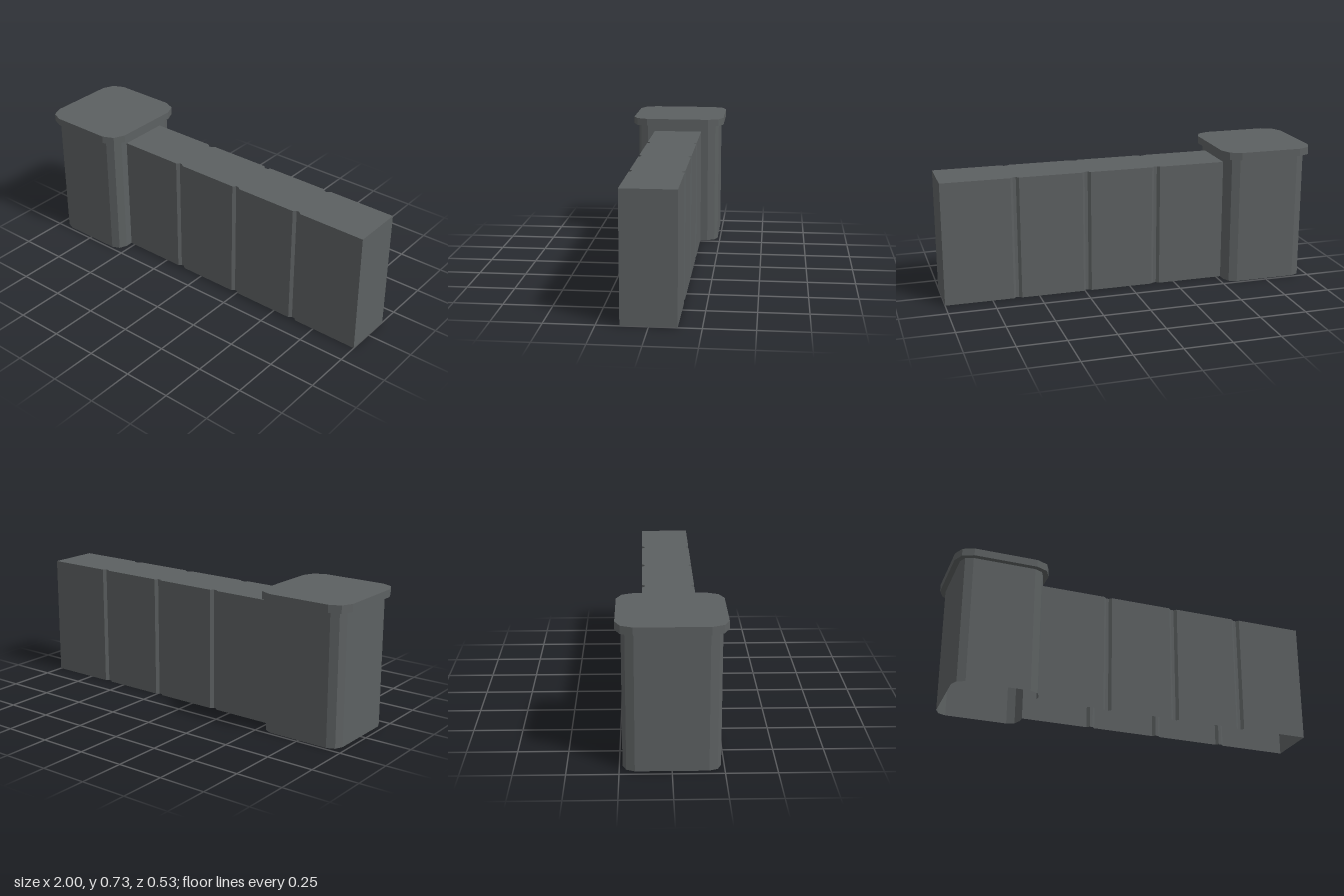
import * as THREE from 'three';

const stone = new THREE.MeshStandardMaterial({ color: 0x5c6061, side: THREE.DoubleSide });
stone.name = 'dark grey stone';

// Flat-faced skin between successive [outline, height] rings; outlines hold [x, z] points.
function skin(rings, closed) {
  const pos = [];
  for (let r = 0; r < rings.length - 1; r++) {
    const [lo, y0] = rings[r], [hi, y1] = rings[r + 1];
    const n = lo.length;
    for (let i = 0; i < (closed ? n : n - 1); i++) {
      const j = (i + 1) % n;
      const a = [lo[i][0], y0, lo[i][1]], b = [lo[j][0], y0, lo[j][1]];
      const c = [hi[j][0], y1, hi[j][1]], d = [hi[i][0], y1, hi[i][1]];
      pos.push(...a, ...b, ...c, ...a, ...c, ...d);
    }
  }
  const geo = new THREE.BufferGeometry();
  geo.setAttribute('position', new THREE.Float32BufferAttribute(pos, 3));
  geo.computeVertexNormals();
  return geo;
}

// Horizontal face filling an outline.
function lid(outline, y) {
  const shape = new THREE.Shape(outline.map(([x, z]) => new THREE.Vector2(x, -z)));
  return new THREE.ShapeGeometry(shape).rotateX(-Math.PI / 2).translate(0, y, 0);
}

// Rectangle with two-facet corners, starting on the +x side and running towards -z.
function roundedOutline(cx, hx, hz, cut, mid) {
  const corner = [[hx, -hz + cut], [hx - mid, -hz + mid], [hx - cut, -hz]];
  const flipX = corner.map(([x, z]) => [-x, z]).reverse();
  const half = [...corner, ...flipX];
  return [...half, ...half.map(([x, z]) => [-x, -z])].map(([x, z]) => [x + cx, z]);
}

export function createModel() {
  const model = new THREE.Group();
  model.name = 'wallWithPillar';
  const add = (name, geo) => {
    const mesh = new THREE.Mesh(geo, stone);
    mesh.name = name;
    model.add(mesh);
  };

  const wallTop = 0.655, wallZ = 0.136, joinX = -0.525, neckY = 0.69, capY = 0.73;

  // Pillar: a hollow shell, open where the wall runs into it
  const shaft = roundedOutline(-0.748, 0.223, 0.235, 0.059, 0.018);
  add('pillarShaft', skin([0, wallTop].map(y => [[[joinX, -wallZ], ...shaft, [joinX, wallZ]], y]), false));
  add('pillarNeck', skin([[shaft, wallTop], [shaft, neckY]], true));

  // Overhanging cap
  const cap = roundedOutline(-0.748, 0.252, 0.263, 0.085, 0.026);
  add('capRim', skin([[shaft, neckY], [cap, neckY], [cap, capY]], true));
  add('capTop', lid(cap, capY));

  // Wall outline with shallow vertical grooves on both faces
  const front = [[joinX, wallZ]];
  for (const x of [-0.145, 0.235, 0.615]) {
    front.push([x - 0.022, wallZ], [x - 0.008, wallZ - 0.014],
      [x + 0.008, wallZ - 0.014], [x + 0.022, wallZ]);
  }
  front.push([1, wallZ]);
  const wall = [...front, ...front.map(([x, z]) => [x, -z]).reverse()];
  add('wallSides', skin([[wall, 0], [wall, wallTop]], false));
  add('wallTop', lid(wall, wallTop));

  return model;
}
